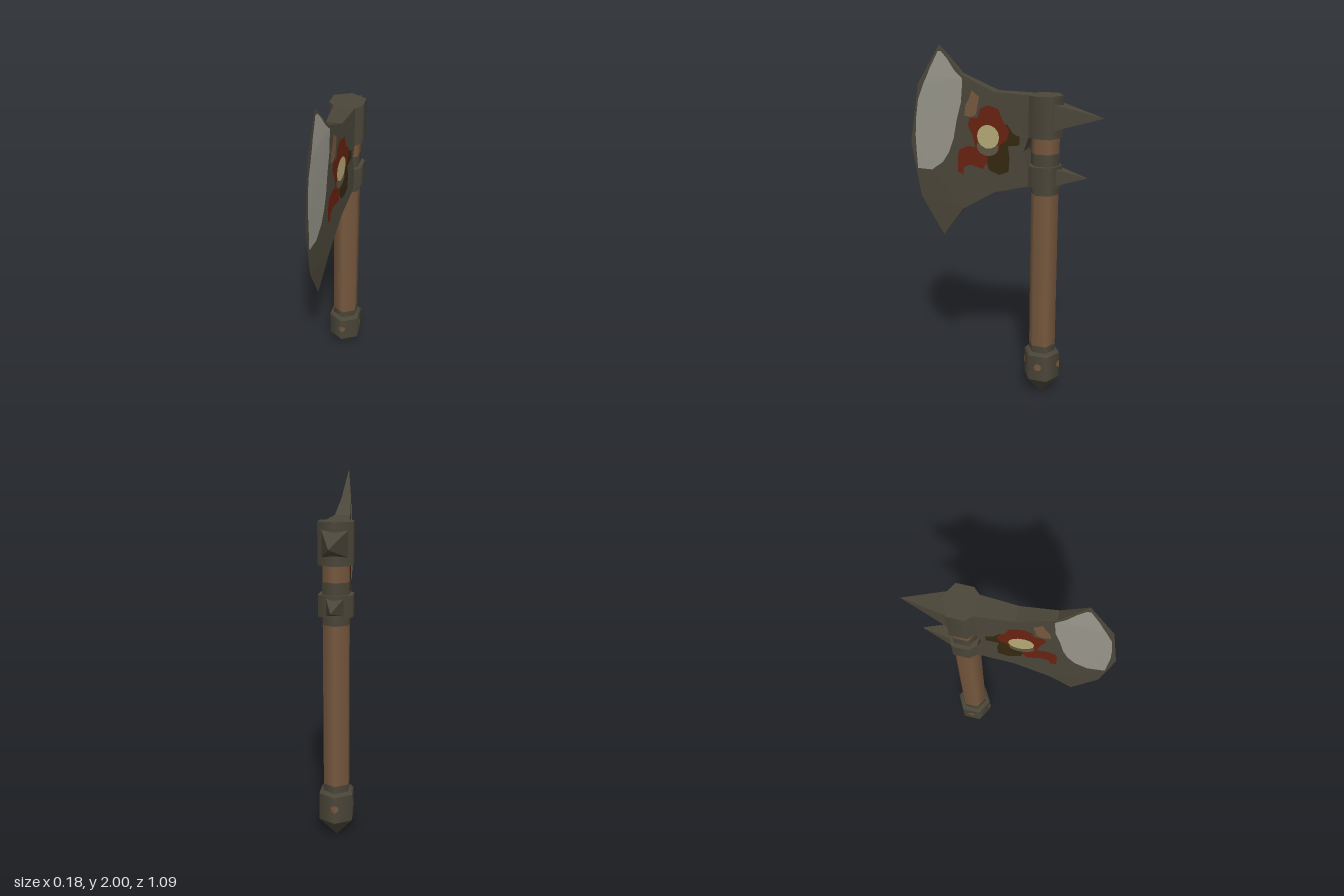
import * as THREE from 'three';

const mat = (name, color) => Object.assign(new THREE.MeshStandardMaterial({ color }), { name });

export function createModel() {
  const iron = mat('dark iron', 0x4b4639);
  const steel = mat('worn steel', 0x97958a);
  const wood = mat('wood', 0x76583e);
  const red = mat('dried red', 0x682210);
  const soot = mat('dark brown stain', 0x35280f);
  const bone = mat('pale bone', 0xb5a975);
  const shade = mat('grey shade', 0x5b5544);

  const group = new THREE.Group();
  const add = (name, geo, material, x = 0, y = 0, z = 0) => {
    const m = new THREE.Mesh(geo, material);
    m.name = name;
    m.position.set(x, y, z);
    group.add(m);
    return m;
  };
  const flat = (geo) => {
    const g = geo.index ? geo.toNonIndexed() : geo;
    g.computeVertexNormals();
    return g;
  };
  const SHAFT_Z = -0.235;
  // Six-sided prism on the shaft axis between two heights
  const hex = (name, material, y0, y1, r0, r1 = r0) =>
    add(name, new THREE.CylinderGeometry(r1, r0, y1 - y0, 6), material, 0, (y0 + y1) / 2, SHAFT_Z);

  // Shaft with grimy bands next to the metal fittings
  hex('shaft', wood, 0.2, 1.7, 0.077);
  hex('lowerBand', iron, 0.27, 0.325, 0.079);
  hex('middleBand', iron, 1.225, 1.29, 0.079);
  hex('upperBand', iron, 1.37, 1.45, 0.079);

  // Pommel with its pointed end
  hex('pommel', iron, 0.115, 0.27, 0.104);
  hex('pommelBevel', iron, 0.27, 0.285, 0.104, 0.09);
  hex('pommelPoint', iron, 0, 0.115, 0.001, 0.104);

  // Rivet spots: flat on the side faces, folded over the front and back corners
  for (let i = 0; i < 4; i++) {
    const folded = i % 2 === 0;
    const g = new THREE.CircleGeometry(0.022, 8);
    const p = g.attributes.position;
    if (folded) for (let k = 0; k < p.count; k++) p.setZ(k, -Math.abs(p.getX(k)) * 0.577);
    g.translate(0, 0, (folded ? 0.104 : 0.0901) + 0.002);
    g.rotateY(i * Math.PI / 2);
    add('rivet', flat(g), wood, 0, 0.2, SHAFT_Z);
  }

  // Collars, their lugs towards the blade, and rear spikes
  const collar = (y0, y1, spikeY, half, tipZ) => {
    hex('collar', iron, y0, y1, 0.104).scale.z = 0.9;
    const lug = new THREE.Shape([[-0.088, 0.19], [0.088, 0.19], [0.058, 0.156], [-0.058, 0.156]]
      .map(([x, z]) => new THREE.Vector2(x, z)));
    const g = new THREE.ExtrudeGeometry(lug, { depth: y1 - y0, bevelEnabled: false });
    g.rotateX(-Math.PI / 2);
    add('collarLug', g, iron, 0, y0, 0);
    const baseZ = -0.285, len = baseZ - tipZ;
    const s = new THREE.ConeGeometry(half * Math.SQRT2, len, 4);
    s.rotateY(Math.PI / 4);
    s.rotateX(-Math.PI / 2);
    add('spike', flat(s), iron, 0, spikeY, baseZ - len / 2);
  };
  collar(1.536, 1.757, 1.648, 0.07, -0.545);
  collar(1.27, 1.385, 1.325, 0.05, -0.468);

  // Blade outline as [z, y]; half thickness falls steadily towards the edge
  const cheek = (z) => 0.0451 - 0.0829 * z;
  const body = [[0.23, 1.847], [0.04, 1.764], [-0.156, 1.757], [-0.156, 1.536], [-0.13, 1.46],
    [-0.156, 1.385], [-0.156, 1.27], [0.04, 1.216], [0.23, 1.10]].map(([z, y]) => [z, y, cheek(z)]);
  const edge = [[0.362, 0.925, 0], [0.495, 1.147, 0], [0.548, 1.46, 0], [0.495, 1.783, 0], [0.362, 2.0, 0]];
  const inTop = body[0], inBot = body[8];
  const [tipBot, e3, e2, e1, tipTop] = edge;
  const wedge = [[inTop, tipTop, e1], [inTop, e1, e2], [inTop, e2, inBot], [inBot, e2, e3], [inBot, e3, tipBot]];

  // Collect triangles of points [z, y, halfX] on side s, facing outwards
  const put = (out, p, s) => out.push(p[2] * s, p[1], p[0]);
  const face = (out, a, b, c, s) => {
    const area = (b[0] - a[0]) * (c[1] - a[1]) - (b[1] - a[1]) * (c[0] - a[0]);
    const order = area * s < 0 ? [a, b, c] : [a, c, b];
    order.forEach((p) => put(out, p, s));
  };
  const build = (pos) => {
    const g = new THREE.BufferGeometry();
    g.setAttribute('position', new THREE.Float32BufferAttribute(pos, 3));
    g.computeVertexNormals();
    return g;
  };
  const fill = (out, pts, s) => {
    const tris = THREE.ShapeUtils.triangulateShape(pts.map(([z, y]) => new THREE.Vector2(z, y)), []);
    tris.forEach(([a, b, c]) => face(out, pts[a], pts[b], pts[c], s));
  };

  const blade = [];
  for (const s of [1, -1]) {
    fill(blade, body, s);
    wedge.forEach(([a, b, c]) => face(blade, a, b, c, s));
  }
  const rim = [tipTop, ...body, tipBot];
  for (let i = 0; i < rim.length - 1; i++) {
    const a = rim[i], b = rim[i + 1];
    [[a, 1], [b, 1], [b, -1], [a, 1], [b, -1], [a, -1]].forEach(([p, s]) => put(blade, p, s));
  }
  add('blade', build(blade), iron);

  // Half thickness of the blade at any point
  const surface = (z, y) => {
    if (z <= 0.23) return cheek(z);
    for (const [a, b, c] of wedge) {
      const d = (b[1] - c[1]) * (a[0] - c[0]) + (c[0] - b[0]) * (a[1] - c[1]);
      const u = ((b[1] - c[1]) * (z - c[0]) + (c[0] - b[0]) * (y - c[1])) / d;
      const v = ((c[1] - a[1]) * (z - c[0]) + (a[0] - c[0]) * (y - c[1])) / d;
      if (u >= -1e-6 && v >= -1e-6 && u + v <= 1 + 1e-6) return u * a[2] + v * b[2] + (1 - u - v) * c[2];
    }
    return 0;
  };

  // Honed steel area along the cutting edge: rows of [y, inner z, outer z]
  const rows = [[1.963, 0.35, 0.37], [1.925, 0.312, 0.39], [1.87, 0.272, 0.42], [1.825, 0.222, 0.44],
    [1.79, 0.224, 0.458], [1.70, 0.232, 0.495], [1.60, 0.26, 0.51], [1.50, 0.28, 0.517],
    [1.42, 0.31, 0.515], [1.36, 0.35, 0.512], [1.31, 0.42, 0.51]];
  const honed = [], N = 8;
  const grid = rows.map(([y, z0, z1]) => Array.from({ length: N + 1 }, (_, i) => {
    const z = z0 + (z1 - z0) * i / N;
    return [z, y, surface(z, y) + 0.003];
  }));
  for (const s of [1, -1])
    for (let r = 0; r < rows.length - 1; r++)
      for (let i = 0; i < N; i++) {
        face(honed, grid[r][i], grid[r + 1][i], grid[r + 1][i + 1], s);
        face(honed, grid[r][i], grid[r + 1][i + 1], grid[r][i + 1], s);
      }
  add('honedEdge', build(honed), steel);

  // Painted marks on both cheeks
  const mark = (name, material, pts, lift) => {
    const out = [];
    for (const s of [1, -1]) fill(out, pts.map(([z, y]) => [z, y, cheek(z) + lift]), s);
    add(name, build(out), material);
  };
  const oval = (z, y, rz, ry) => Array.from({ length: 14 }, (_, i) => {
    const a = i / 14 * Math.PI * 2;
    return [z + rz * Math.cos(a), y + ry * Math.sin(a)];
  });
  mark('rustPatch', wood, [[0.17, 1.767], [0.125, 1.735], [0.145, 1.64], [0.175, 1.622], [0.215, 1.63],
    [0.205, 1.69], [0.185, 1.72]], 0.002);
  mark('darkStain', soot, [[-0.034, 1.60], [-0.07, 1.55], [-0.108, 1.535], [-0.105, 1.49], [-0.04, 1.48],
    [-0.05, 1.42], [-0.045, 1.34], [0.01, 1.318], [0.07, 1.34], [0.09, 1.40], [0.065, 1.44], [0.02, 1.52]], 0.002);
  mark('redStain', red, [[0.077, 1.693], [0.013, 1.677], [-0.008, 1.62], [-0.05, 1.566], [-0.034, 1.513],
    [0.003, 1.486], [0.013, 1.45], [0.077, 1.45], [0.077, 1.396], [0.103, 1.343], [0.18, 1.36], [0.22, 1.343],
    [0.225, 1.30], [0.257, 1.312], [0.257, 1.396], [0.246, 1.44], [0.193, 1.465], [0.15, 1.46], [0.167, 1.53],
    [0.193, 1.576], [0.182, 1.62], [0.135, 1.62], [0.12, 1.67]], 0.004);
  mark('eyeShade', shade, oval(0.077, 1.468, 0.064, 0.05), 0.006);
  mark('eye', bone, oval(0.073, 1.524, 0.065, 0.065), 0.008);

  return group;
}
